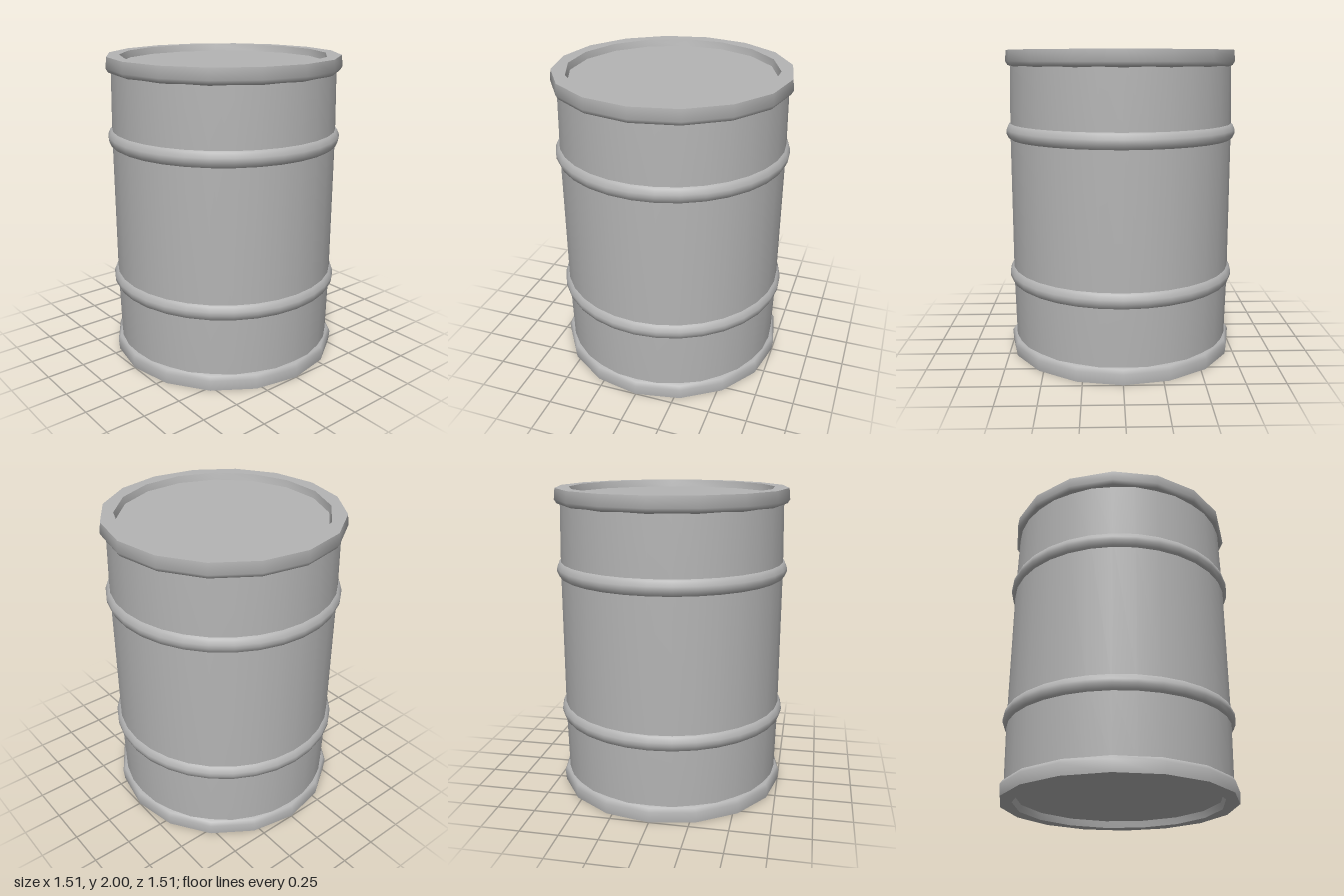
import * as THREE from 'three';
import { toCreasedNormals } from 'three/addons/utils/BufferGeometryUtils.js';

const RIM_SIDES = 16;
const HALF_STEP = Math.PI / RIM_SIDES;

const lathe = (profile, sides) =>
  new THREE.LatheGeometry(profile.map(([r, y]) => new THREE.Vector2(r, y)), sides);

// Rolled end rim; its inner lip is turned half a step against the outer edge
function rimGeometry() {
  const geometry = lathe([
    [0.715, 1.895], [0.742, 1.905], [0.757, 1.93], [0.75, 2], [0.665, 2], [0.655, 1.955],
  ], RIM_SIDES);
  const pos = geometry.attributes.position;
  const v = new THREE.Vector3();
  const up = new THREE.Vector3(0, 1, 0);
  for (let i = 0; i < pos.count; i++) {
    v.fromBufferAttribute(pos, i);
    if (Math.hypot(v.x, v.z) < 0.7) v.applyAxisAngle(up, HALF_STEP);
    pos.setXYZ(i, v.x, v.y, v.z);
  }
  return toCreasedNormals(geometry, 0.75);
}

// One barrel end: rim plus recessed lid
function createEnd(name, steel) {
  const end = new THREE.Group();
  end.name = name;
  const rim = new THREE.Mesh(rimGeometry(), steel);
  rim.name = 'rim';
  const lidGeometry = new THREE.CircleGeometry(0.655, RIM_SIDES);
  lidGeometry.rotateX(-Math.PI / 2).rotateY(HALF_STEP).translate(0, 1.955, 0);
  const lid = new THREE.Mesh(lidGeometry, steel);
  lid.name = 'lid';
  end.add(rim, lid);
  return end;
}

export function createModel() {
  const barrel = new THREE.Group();
  barrel.name = 'barrel';
  const steel = new THREE.MeshStandardMaterial({ color: 0xb4b4b4 });
  steel.name = 'grey steel';

  // Wall, drawn in slightly towards both ends
  const wall = new THREE.Mesh(lathe([
    [0.72, 0.06], [0.73, 0.5], [0.73, 1.5], [0.72, 1.94],
  ], 32), steel);
  wall.name = 'wall';
  barrel.add(wall);

  // Raised hoops round the wall
  for (const [name, y] of [['lowerHoop', 0.527], ['upperHoop', 1.482]]) {
    const hoop = new THREE.Mesh(lathe([
      [0.725, -0.053], [0.742, -0.042], [0.755, -0.012],
      [0.755, 0.012], [0.742, 0.042], [0.725, 0.053],
    ], 32), steel);
    hoop.name = name;
    hoop.position.y = y;
    barrel.add(hoop);
  }

  // Both ends; the bottom is the top turned over
  const top = createEnd('topEnd', steel);
  const bottom = createEnd('bottomEnd', steel);
  bottom.rotation.x = Math.PI;
  bottom.position.y = 2;
  barrel.add(top, bottom);

  return barrel;
}
